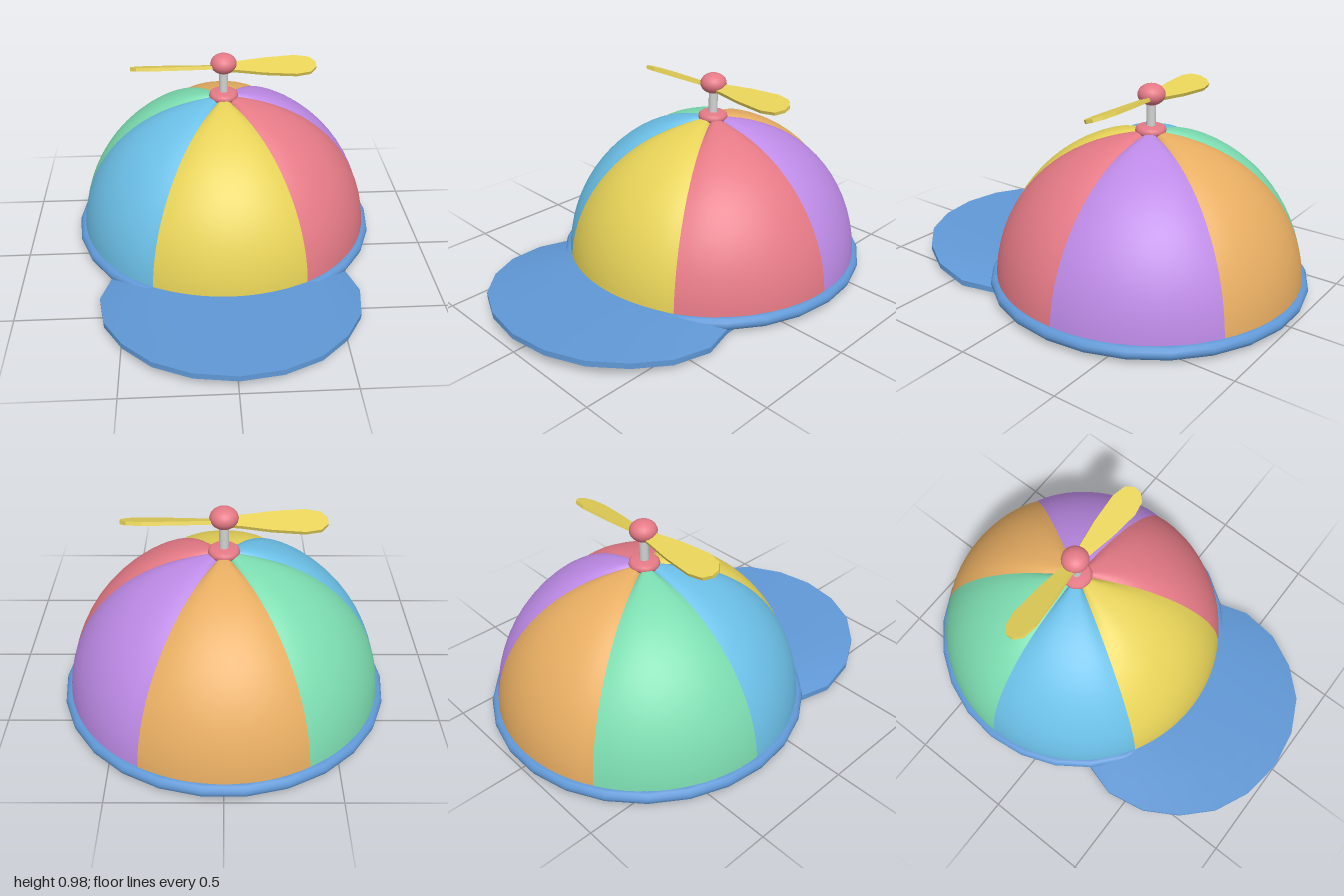
import * as THREE from 'three';

const mat = (name, color) => {
  const m = new THREE.MeshStandardMaterial({ color });
  m.name = name;
  return m;
};

// Bends a unit box: fn(u, v, w) gives the new place of each corner, u v w in 0..1
function bentBox(nx, ny, nz, fn) {
  const g = new THREE.BoxGeometry(1, 1, 1, nx, ny, nz);
  const p = g.attributes.position;
  for (let i = 0; i < p.count; i++) {
    p.setXYZ(i, ...fn(p.getX(i) + 0.5, p.getY(i) + 0.5, p.getZ(i) + 0.5));
  }
  g.computeVertexNormals();
  return g;
}

export function createModel() {
  const root = new THREE.Group();
  root.name = 'propellerCap';
  const cap = new THREE.Group();
  cap.name = 'cap';
  cap.position.z = -0.243;
  root.add(cap);

  const sky = mat('skyBlue', 0x6cc0e8);
  const yellow = mat('yellow', 0xe6d258);
  const red = mat('red', 0xe57a86);
  const purple = mat('purple', 0xbd8ae6);
  const orange = mat('orange', 0xe7ad62);
  const green = mat('green', 0x7cdcb0);
  const blue = mat('blue', 0x6098d6);
  const grey = mat('grey', 0xd2d2d2);

  const add = (parent, name, geometry, material, y = 0) => {
    const mesh = new THREE.Mesh(geometry, material);
    mesh.name = name;
    mesh.position.y = y;
    parent.add(mesh);
    return mesh;
  };

  // Thick dome panel facing the front, sunk along its seams towards the top,
  // with a short upright skirt at the bottom that sits inside the band
  const rows = 20;
  const panel = bentBox(16, rows, 1, (u, v, w) => {
    const across = (u - 0.5) * Math.PI / 3;
    const row = Math.round(v * rows);
    const theta = THREE.MathUtils.lerp(Math.PI / 2, 0.03, Math.max(row - 1, 0) / (rows - 1));
    const r = 0.672 + 0.058 * w - 0.017 * Math.cos(theta) * Math.abs(2 * u - 1) ** 4;
    const y = row === 0 ? -0.02 : 0.985 * r * Math.cos(theta);
    return [r * Math.sin(theta) * Math.sin(across), y, r * Math.sin(theta) * Math.cos(across)];
  });
  [yellow, red, purple, orange, green, sky].forEach((m, i) => {
    add(cap, 'panel' + (i + 1), panel, m, 0.045).rotation.y = i * Math.PI / 3;
  });

  // Rolled band around the rim
  const band = new THREE.TorusGeometry(0.73, 0.031, 12, 26);
  band.rotateX(Math.PI / 2);
  add(cap, 'band', band, blue, 0.051);

  // Brim: a slab swept from the rim arc to the outer outline, drooping at the sides
  const outline = [[0, 0.998], [0.19, 0.97], [0.36, 0.89], [0.49, 0.76], [0.58, 0.6], [0.612, 0.41], [0.565, 0.25]];
  const brim = bentBox(12, 1, 6, (u, v, w) => {
    const step = Math.round(u * 12) - 6;
    const a = step / 6 * 0.907;
    const [ox, oz] = outline[Math.abs(step)];
    const x = THREE.MathUtils.lerp(0.712 * Math.sin(a), Math.sign(step) * ox, w);
    const z = THREE.MathUtils.lerp(0.712 * Math.cos(a) - 0.243, oz, w);
    const droop = (0.2 - 0.18 * z) * x * x * THREE.MathUtils.lerp((step / 6) ** 2, 1, w);
    return [x, 0.08 + 0.02 * z - droop - 0.028 * (1 - v), z];
  });
  add(root, 'brim', brim, blue);

  // Button, shaft and knob
  const buttonProfile = [[0, 0.75], [0.068, 0.75], [0.072, 0.762], [0.069, 0.776], [0.058, 0.785], [0, 0.787]];
  add(cap, 'button', new THREE.LatheGeometry(buttonProfile.map(([x, y]) => new THREE.Vector2(x, y)), 20), red);
  add(cap, 'shaft', new THREE.CylinderGeometry(0.022, 0.022, 0.14, 16), grey, 0.84);
  add(cap, 'knob', new THREE.SphereGeometry(0.064, 20, 14), red, 0.931).scale.y = 0.78;

  // Two pitched propeller blades
  const half = [[0, 0.024], [0.08, 0.034], [0.2, 0.054], [0.35, 0.067], [0.42, 0.053], [0.45, 0.018]];
  const points = [...half.map(([x, w]) => [x, -w]), ...[...half].reverse()];
  const shape = new THREE.Shape(points.map(([x, w]) => new THREE.Vector2(x, w)));
  const blade = new THREE.ExtrudeGeometry(shape, { depth: 0.017, bevelEnabled: false });
  blade.translate(0, 0, -0.0085).rotateX(Math.PI / 2 + 0.34);
  const propeller = new THREE.Group();
  propeller.name = 'propeller';
  propeller.position.y = 0.912;
  cap.add(propeller);
  add(propeller, 'leftBlade', blade, yellow);
  add(propeller, 'rightBlade', blade, yellow).rotation.y = Math.PI;

  return root;
}
